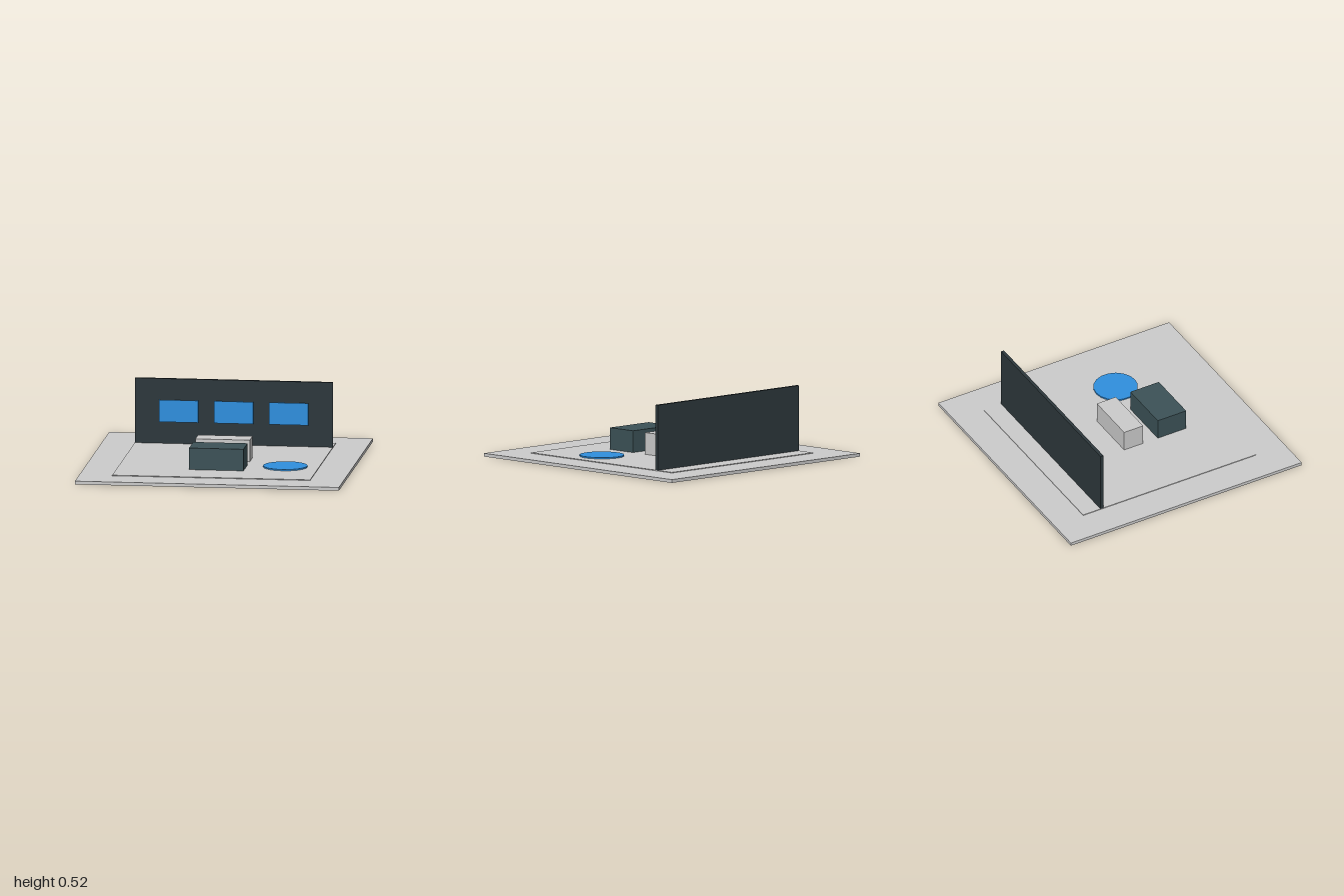
import * as THREE from 'three';

const paint = (color) => new THREE.MeshStandardMaterial({ color, flatShading: true });

export function createModel() {
  const model = new THREE.Group();
  const grey = paint(0xcccccc);
  const dark = paint(0x37474f);
  const charcoal = paint(0x263238);
  charcoal.color.set(0x2d383c);
  dark.color.set(0x3c5257);
  const blue = paint(0x2f8fde);

  const add = (name, geometry, material, x, y, z) => {
    const mesh = new THREE.Mesh(geometry, material);
    mesh.name = name;
    mesh.position.set(x, y, z);
    model.add(mesh);
  };
  // Box given by its size, with y as the height of its underside
  const box = (name, w, h, d, material, x, y, z) =>
    add(name, new THREE.BoxGeometry(w, h, d), material, x, y + h / 2, z);

  // Ground slab and raised floor
  box('groundSlab', 2, 0.025, 2, grey, 0, 0, 0);
  box('floor', 1.5, 0.005, 1.5, grey, 0, 0.025, 0);

  // Back wall with three panels hung just in front
  box('backWall', 1.5, 0.495, 0.025, charcoal, 0, 0.03, -0.5875);
  for (const i of [-1, 0, 1]) {
    box('wallPanel', 0.298, 0.168, 0.006, blue, i * 0.417, 0.196, -0.563);
  }

  // Counter and the plinth behind it
  box('counter', 0.412, 0.165, 0.246, dark, 0, 0.03, 0.332);
  box('plinth', 0.412, 0.165, 0.164, grey, 0, 0.03, 0);

  // Round mat
  add('roundMat', new THREE.CylinderGeometry(0.168, 0.168, 0.01, 18), blue, 0.497, 0.035, 0.248);

  return model;
}
